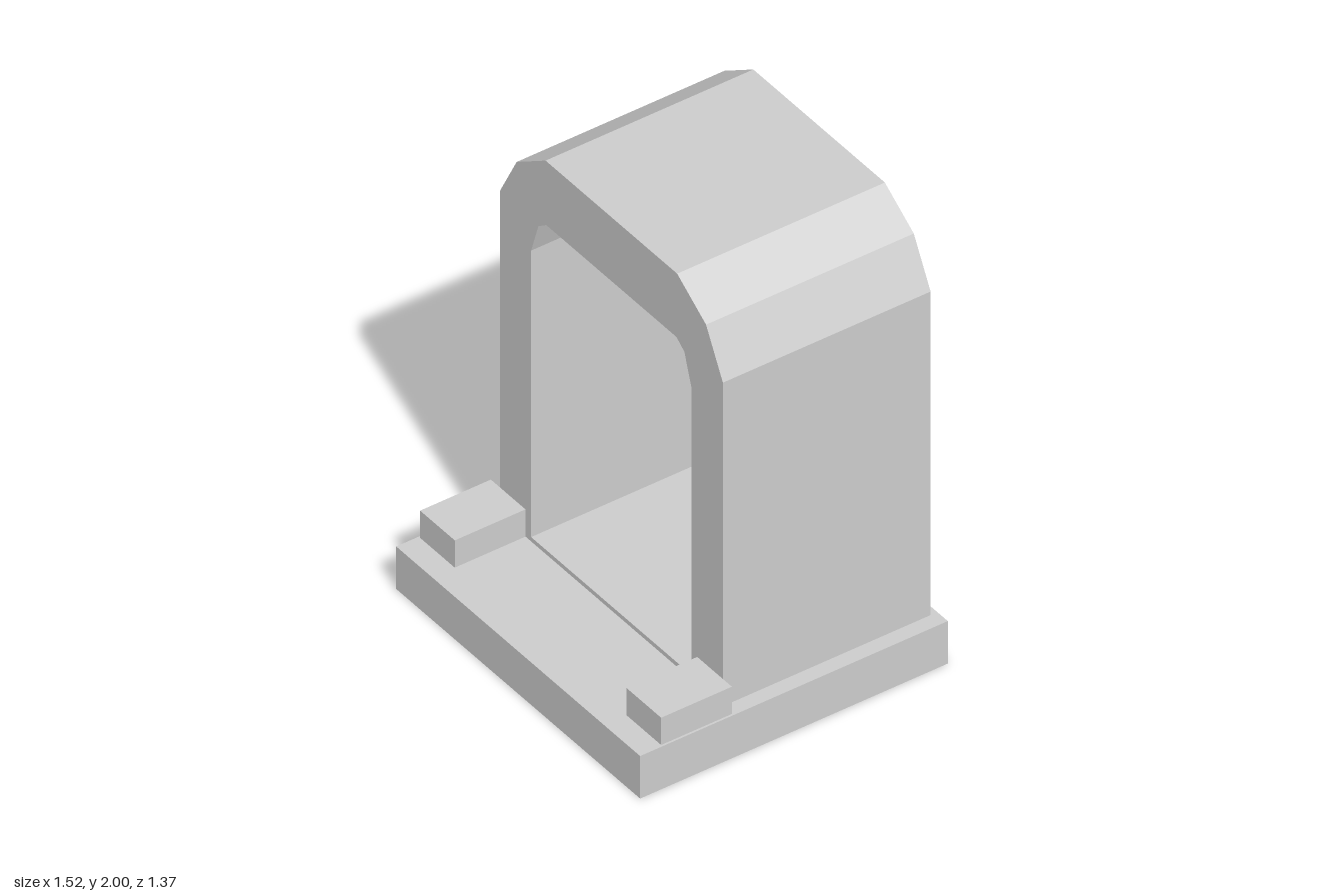
import * as THREE from 'three';

const stone = new THREE.MeshStandardMaterial({ color: 0xcccccc });
stone.name = 'pale grey';

// Symmetric outline from its right-hand points, listed bottom to top
function mirrored(points, Type) {
  const left = points.map(([x, y]) => [-x, y]).reverse();
  return new Type([...points, ...left].map(([x, y]) => new THREE.Vector2(x, y)));
}

export function createModel() {
  const group = new THREE.Group();
  group.name = 'alcove';

  const add = (name, geometry) => {
    const mesh = new THREE.Mesh(geometry, stone);
    mesh.name = name;
    group.add(mesh);
  };
  const box = (name, x0, x1, y0, y1, z0, z1) => {
    const g = new THREE.BoxGeometry(x1 - x0, y1 - y0, z1 - z0);
    add(name, g.translate((x0 + x1) / 2, (y0 + y1) / 2, (z0 + z1) / 2));
  };
  const extrude = (name, shape, z0, z1) => {
    const g = new THREE.ExtrudeGeometry(shape, { depth: z1 - z0, bevelEnabled: false });
    add(name, g.translate(0, 0, z0));
  };

  const back = -0.655, recess = -0.495, front = 0.27;
  const outer = [[0.695, 0.195], [0.695, 1.68], [0.59, 1.88], [0.41, 2]];
  const inner = [[0.5, 0.215], [0.5, 1.53], [0.455, 1.67], [0.375, 1.73]];

  // Plinth
  box('base', -0.76, 0.76, 0, 0.195, -0.685, 0.685);

  // Hollow shell and its closed rear wall
  const arch = mirrored(outer, THREE.Shape);
  arch.holes.push(mirrored(inner, THREE.Path));
  extrude('archShell', arch, recess, front);
  extrude('backWall', mirrored(outer, THREE.Shape), back, recess);

  // Slim bar under the arch ceiling
  const bar = [[0.45, 1.68], [0.395, 1.715]];
  extrude('ceilingBar', mirrored(bar, THREE.Shape), 0.17, 0.25);

  // Slats on the rear wall
  for (let i = 0; i < 6; i++) {
    const y = 0.33 + i * 0.185;
    box('slat', -0.433, 0.433, y, y + 0.063, recess, recess + 0.09);
  }

  // Blocks either side of the entrance
  for (const s of [-1, 1]) {
    const x = s * 0.643;
    box(s > 0 ? 'leftBlock' : 'rightBlock', x - 0.108, x + 0.108, 0.195, 0.32, front, 0.585);
  }

  return group;
}
